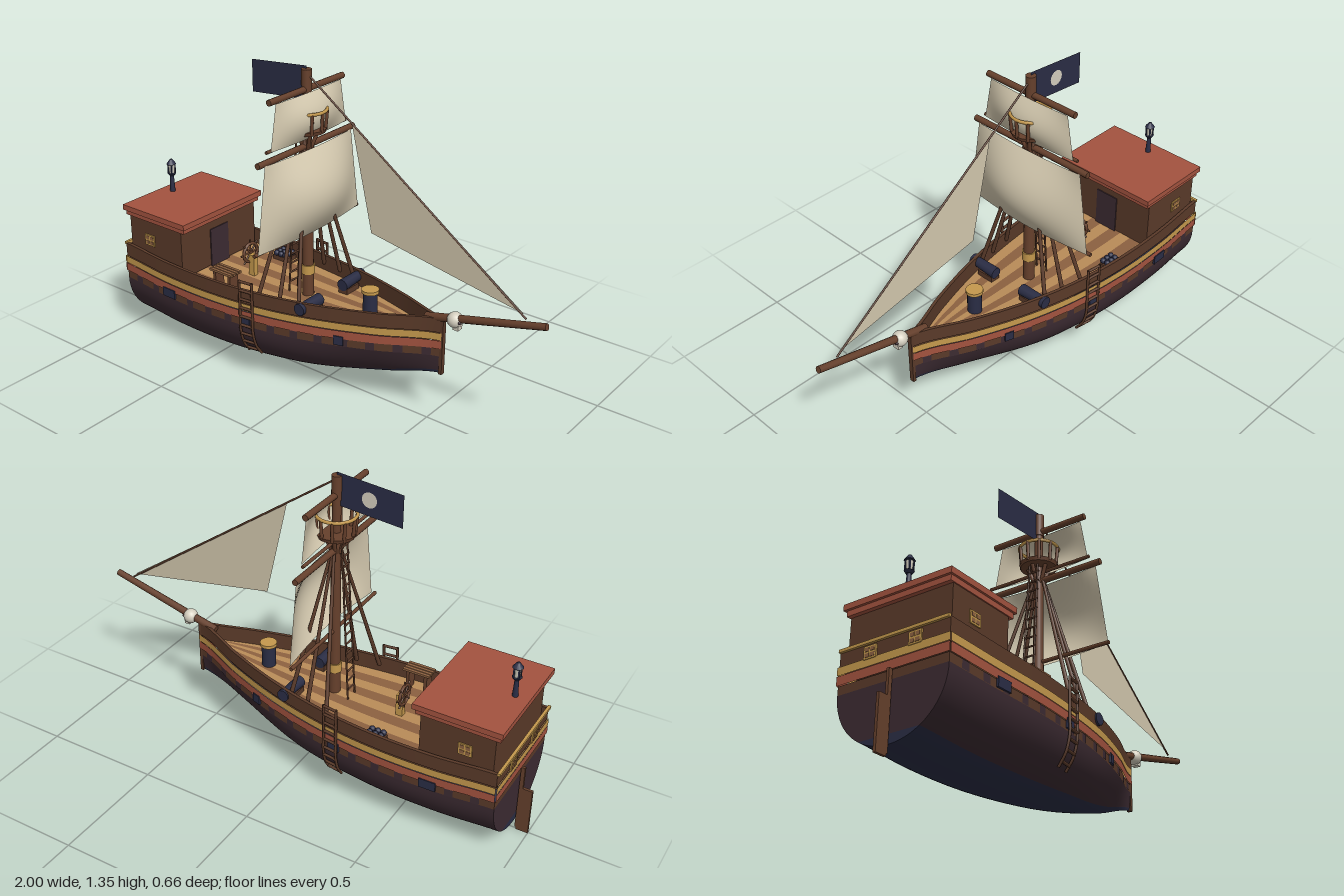
import * as THREE from 'three';

const mat = (name, color, open) => {
  const m = new THREE.MeshStandardMaterial({ color });
  m.name = name;
  if (open) m.side = THREE.DoubleSide;
  return m;
};
const V = (x, y, z) => new THREE.Vector3(x, y, z);

// Hull lines, as values at seven even stations from stern to bow
const X0 = -0.94, X1 = 0.56;
const line = (vals) => {
  const c = new THREE.SplineCurve(vals.map((v, i) => new THREE.Vector2(i, v)));
  return (x) => c.getPoint(THREE.MathUtils.clamp((x - X0) / (X1 - X0), 0, 1)).y;
};
const beam = line([0.245, 0.256, 0.256, 0.232, 0.183, 0.105, 0.008]);
const sheer = line([0.44, 0.427, 0.425, 0.428, 0.438, 0.452, 0.47]);
const keel = line([0.045, 0.032, 0.035, 0.055, 0.09, 0.15, 0.228]);
const WALE = 0.165; // depth of the vertical topside below the sheer

// Half width of the hull at x, t = 0 below the topside to 1 at the keel
const halfWidth = (x, t) => {
  const v = THREE.MathUtils.smoothstep(x, -0.1, 0.56) * 0.7;
  return beam(x) * THREE.MathUtils.lerp(Math.sqrt(Math.max(0, 1 - t * t)), 1 - t, v);
};
const bottomY = (x, t) => THREE.MathUtils.lerp(sheer(x) - WALE, keel(x), t);
const sideAt = (x, y) => {
  const b = sheer(x) - WALE;
  return y >= b ? beam(x) : halfWidth(x, Math.min(1, (b - y) / (b - keel(x))));
};

// Surface from a rule p(u, v)
function grid(nu, nv, p) {
  const pos = [], idx = [];
  for (let i = 0; i <= nu; i++) for (let j = 0; j <= nv; j++) pos.push(...p(i / nu, j / nv));
  for (let i = 0; i < nu; i++) for (let j = 0; j < nv; j++) {
    const a = i * (nv + 1) + j, b = a + nv + 1;
    idx.push(a, b, a + 1, b, b + 1, a + 1);
  }
  const g = new THREE.BufferGeometry();
  g.setAttribute('position', new THREE.Float32BufferAttribute(pos, 3));
  g.setIndex(idx);
  g.computeVertexNormals();
  return g;
}

export function createModel() {
  const ship = new THREE.Group();
  ship.name = 'sailingShip';
  const wood = mat('dark wood', 0x5a3a29, true), spar = mat('spar wood', 0x66402c);
  const light = mat('light plank', 0xb98c58, true), dark = mat('brown plank', 0x8c6140, true);
  const red = mat('red paint', 0xa3533f, true), gold = mat('gold paint', 0xc5994d, true);
  const plum = mat('dark hull', 0x3c2b32, true), navy = mat('navy', 0x2a2d45, true);
  const sail = mat('sail cloth', 0xd3c8ae, true), bone = mat('bone', 0xd6d0c0);

  const add = (name, geo, m, x = 0, y = 0, z = 0) => {
    const o = new THREE.Mesh(geo, m);
    o.name = name;
    o.position.set(x, y, z);
    ship.add(o);
    return o;
  };
  const box = (name, w, h, d, m, x, y, z) => add(name, new THREE.BoxGeometry(w, h, d), m, x, y, z);
  const cyl = (name, r1, r2, h, m, x, y, z, n = 16) => add(name, new THREE.CylinderGeometry(r1, r2, h, n), m, x, y, z);
  const rod = (name, a, b, r, m = spar, r2 = r) => {
    const d = b.clone().sub(a), o = cyl(name, r2, r, d.length(), m, 0, 0, 0, 10);
    o.position.copy(a).addScaledVector(d, 0.5);
    o.quaternion.setFromUnitVectors(V(0, 1, 0), d.normalize());
    return o;
  };
  const lerp = THREE.MathUtils.lerp;

  // Painted topside bands, both sides and across the stern
  const bands = [['bulwark', 0, 0.06, wood, 0], ['goldWale', 0.06, 0.092, gold, 0.005],
    ['redWale', 0.094, 0.13, red, 0.005], ['lowerStrake', 0.13, WALE, wood, 0]];
  for (const [name, a, b, m, out] of bands) {
    for (const s of [-1, 1]) add(name, grid(40, 1, (u, v) => {
      const x = lerp(X0, X1, u);
      return [x, sheer(x) - lerp(a, b, v), s * (beam(x) + out)];
    }), m);
    add(name + 'Stern', grid(1, 1, (u, v) => [X0 - out, sheer(X0) - lerp(a, b, v), lerp(-1, 1, u) * (beam(X0) + out)]), m);
  }
  // Rounded bottom in two colours
  for (const [name, a, b, m] of [['hullSide', 0, 1.0, plum], ['hullBottom', 1.0, Math.PI / 2, navy]]) {
    for (const s of [-1, 1]) add(name, grid(40, 10, (u, v) => {
      const x = lerp(X0, X1, u), t = Math.sin(lerp(a, b, v));
      return [x, bottomY(x, t), s * halfWidth(x, t)];
    }), m);
    add(name + 'Stern', grid(1, 10, (u, v) => {
      const t = Math.sin(lerp(a, b, v));
      return [X0, bottomY(X0, t), lerp(-1, 1, u) * halfWidth(X0, t)];
    }), m);
  }
  // Cap rail and inner bulwark
  const inner = (x) => Math.max(0, beam(x) - 0.014);
  for (const s of [-1, 1]) {
    add('capRail', grid(40, 1, (u, v) => {
      const x = lerp(X0, X1, u);
      return [x, sheer(x), s * lerp(inner(x), beam(x), v)];
    }), wood);
    add('innerBulwark', grid(40, 1, (u, v) => {
      const x = lerp(X0, X1, u);
      return [x, sheer(x) - 0.08 * v, s * inner(x)];
    }), wood);
    // Dark gaps in the lower strake
    for (let x = -0.88; x < 0.5; x += 0.105) add('strakeGap', grid(2, 1, (u, v) => {
      const xx = x + u * 0.035;
      return [xx, sheer(xx) - lerp(0.131, WALE, v), s * (beam(xx) + 0.002)];
    }), plum);
  }
  // Planked deck
  const planks = 9;
  for (let i = 0; i < planks; i++) add('deckPlank', grid(30, 1, (u, v) => {
    const x = lerp(X0, X1 - 0.01, u);
    return [x, sheer(x) - 0.07, inner(x) * (1 - 2 * (i + v) / planks)];
  }), i % 2 ? dark : light);

  // Stem, rudder and stern rail
  box('stem', 0.014, 0.25, 0.02, wood, 0.558, 0.35, 0);
  box('rudder', 0.05, 0.21, 0.012, spar, -0.975, 0.105, 0);
  box('rudderPost', 0.016, 0.3, 0.012, spar, -0.952, 0.16, 0);
  box('sternRail', 0.012, 0.012, 0.49, gold, -0.944, 0.44, 0);

  // Cabin with windows, door and roof
  box('cabin', 0.305, 0.22, 0.46, wood, -0.765, 0.47, 0);
  box('roofEave', 0.345, 0.022, 0.47, red, -0.763, 0.588, 0);
  box('roof', 0.365, 0.024, 0.488, red, -0.763, 0.611, 0);
  box('cabinDoor', 0.006, 0.18, 0.11, plum, -0.611, 0.44, 0);
  const window4 = (x, y, z, turn) => {
    const g = new THREE.Group();
    g.name = 'window';
    const frame = new THREE.Mesh(new THREE.BoxGeometry(0.056, 0.05, 0.006), gold);
    g.add(frame);
    for (const i of [-1, 1]) for (const j of [-1, 1]) {
      const pane = new THREE.Mesh(new THREE.BoxGeometry(0.018, 0.015, 0.009), dark);
      pane.position.set(i * 0.012, j * 0.011, 0);
      g.add(pane);
    }
    g.position.set(x, y, z);
    g.rotation.y = turn;
    ship.add(g);
  };
  for (const s of [-1, 1]) {
    window4(-0.8, 0.49, s * 0.232, 0);
    window4(-0.945, 0.4, s * 0.1, Math.PI / 2);
  }
  // Stern lantern
  cyl('lanternPost', 0.008, 0.012, 0.08, navy, -0.885, 0.66, 0);
  cyl('lanternBase', 0.02, 0.012, 0.012, navy, -0.885, 0.703, 0, 8);
  cyl('lanternGlass', 0.014, 0.011, 0.04, bone, -0.885, 0.728, 0, 8);
  for (let i = 0; i < 4; i++) {
    const a = i * Math.PI / 2 + 0.8;
    box('lanternBar', 0.006, 0.045, 0.006, navy, -0.885 + 0.014 * Math.cos(a), 0.73, 0.014 * Math.sin(a));
  }
  cyl('lanternCap', 0.006, 0.022, 0.022, navy, -0.885, 0.762, 0, 8);

  // Mast, yards and booms
  const MX = -0.11;
  cyl('mast', 0.017, 0.025, 0.92, spar, MX, 0.8, 0);
  cyl('mastHead', 0.021, 0.021, 0.1, spar, MX, 1.283, 0);
  cyl('mastBand', 0.029, 0.029, 0.04, gold, MX, 0.48, 0);
  for (const [y, h, r] of [[1.253, 0.225, 0.013], [1.02, 0.297, 0.013], [1.06, 0.245, 0.007], [0.656, 0.33, 0.008]])
    rod('yard', V(MX, y, -h), V(MX, y, h), r);
  // Billowing square sails
  const square = (name, yTop, yBot, hTop, hBot, depth) => add(name, grid(20, 20, (u, v) => [
    MX + 0.012 + depth * Math.sin(Math.PI * u) * Math.sin(Math.PI * (0.05 + 0.87 * v)),
    lerp(yTop, yBot, v), lerp(-1, 1, u) * lerp(hTop, hBot, v)]), sail);
  square('topSail', 1.245, 1.06, 0.198, 0.232, 0.052);
  square('mainSail', 1.015, 0.658, 0.268, 0.32, 0.1);

  // Crow's nest
  cyl('nestFloor', 0.08, 0.075, 0.016, spar, MX, 1.09, 0, 20);
  const ring = add('nestRail', new THREE.TorusGeometry(0.08, 0.007, 6, 24), gold, MX, 1.172, 0);
  ring.rotation.x = Math.PI / 2;
  for (let i = 0; i < 10; i++) {
    const a = i * Math.PI / 5, c = Math.cos(a), s = Math.sin(a);
    rod('nestPost', V(MX + 0.073 * c, 1.09, 0.073 * s), V(MX + 0.08 * c, 1.172, 0.08 * s), 0.007);
    if (i % 2) rod('nestBrace', V(MX + 0.015 * c, 1.01, 0.015 * s), V(MX + 0.045 * c, 1.085, 0.045 * s), 0.008);
  }

  // Shrouds and the ladder behind the mast
  for (const s of [-1, 1]) {
    for (const x of [-0.2, -0.1, -0.01])
      rod('shroud', V(x, 0.39, s * (beam(x) - 0.015)), V(MX, 1.06, s * 0.012), 0.009, wood, 0.006);
    rod('mastLadderRope', V(-0.19, 0.36, s * 0.028), V(-0.145, 1.09, s * 0.02), 0.004, wood);
  }
  for (let i = 1; i < 17; i++) {
    const x = lerp(-0.19, -0.145, i / 17), y = lerp(0.36, 1.09, i / 17);
    rod('mastLadderRung', V(x, y, -0.028), V(x, y, 0.028), 0.004, wood);
  }

  // Flag with a plain round patch
  const flag = (u, v, z) => [lerp(-0.39, MX, u), lerp(1.185, 1.32, v) + 0.025 * u, z];
  add('flag', grid(1, 1, (u, v) => flag(u, v, 0)), navy);
  const patch = add('flagPatch', new THREE.CircleGeometry(0.032, 16), bone, -0.25, 1.265, -0.003);
  patch.rotation.y = Math.PI;

  // Bowsprit, forestay, jib and figurehead
  rod('bowsprit', V(0.48, 0.455, 0), V(0.996, 0.585, 0), 0.017, spar, 0.014);
  rod('forestay', V(-0.1, 1.31, 0), V(0.91, 0.588, 0), 0.004, wood);
  const jib = new THREE.Shape([[0.11, 1.16], [0.21, 0.73], [0.9, 0.605]].map((p) => new THREE.Vector2(...p)));
  add('jib', new THREE.ShapeGeometry(jib), sail);
  add('figureheadBall', new THREE.SphereGeometry(0.032, 16, 12), bone, 0.61, 0.483, 0);
  box('figureheadJaw', 0.024, 0.024, 0.03, bone, 0.622, 0.458, 0);
  for (const s of [-1, 1]) add('figureheadEye', new THREE.SphereGeometry(0.008, 8, 6), plum, 0.637, 0.483, s * 0.012);

  for (const s of [-1, 1]) {
    // Cannon poking through the bulwark
    rod('cannon', V(0.01, 0.405, s * 0.075), V(0.01, 0.41, s * 0.2), 0.026, navy, 0.021);
    rod('cannonMuzzle', V(0.01, 0.41, s * 0.19), V(0.01, 0.41, s * 0.207), 0.026, navy);
    box('cannonCarriage', 0.045, 0.025, 0.08, wood, 0.01, 0.378, s * 0.12);
    // Gun ports
    for (const [x, w] of [[-0.67, 0.07], [-0.25, 0.05], [0.17, 0.04]]) {
      const port = box('gunPort', w, 0.04, 0.012, navy, x, sheer(x) - 0.138, s * (beam(x) + 0.003));
      port.rotation.y = -s * Math.atan((beam(x + 0.02) - beam(x - 0.02)) / 0.04);
    }
    // Boarding ladder hugging the hull
    const at = (x, y) => V(x, y, s * (sideAt(x, y) + 0.012));
    for (const x of [-0.265, -0.205]) {
      const pts = [0.475, 0.4, 0.32, 0.25, 0.18, 0.13].map((y) => at(x, y));
      add('ladderRail', new THREE.TubeGeometry(new THREE.CatmullRomCurve3(pts), 20, 0.006, 6), wood);
    }
    for (let y = 0.15; y < 0.48; y += 0.04) rod('ladderRung', at(-0.265, y), at(-0.205, y), 0.006, wood);
  }

  // Barrel
  cyl('barrel', 0.03, 0.03, 0.1, navy, 0.21, 0.425, 0);
  cyl('barrelLid', 0.036, 0.036, 0.014, gold, 0.21, 0.478, 0);
  // Steering wheel
  const wheel = add('wheelRim', new THREE.TorusGeometry(0.042, 0.007, 8, 24), spar, -0.43, 0.455, 0);
  wheel.rotation.y = Math.PI / 2;
  for (let i = 0; i < 4; i++) {
    const a = i * Math.PI / 4, y = 0.06 * Math.sin(a), z = 0.06 * Math.cos(a);
    rod('wheelSpoke', V(-0.43, 0.455 - y, -z), V(-0.43, 0.455 + y, z), 0.004);
  }
  box('wheelStand', 0.03, 0.1, 0.025, gold, -0.415, 0.4, 0);
  // Slatted table and shot rack
  for (let i = 0; i < 4; i++) box('tableSlat', 0.12, 0.01, 0.013, dark, -0.4, 0.452, 0.164 + i * 0.017);
  for (const x of [-0.44, -0.36]) box('tableLeg', 0.014, 0.1, 0.05, spar, x, 0.4, 0.19);
  box('shotRack', 0.08, 0.02, 0.06, wood, -0.41, 0.366, -0.2);
  for (let i = 0; i < 3; i++) for (let j = 0; j < 3; j++)
    add('shot', new THREE.SphereGeometry(0.013, 10, 8), navy, -0.435 + i * 0.025, 0.385, -0.223 + j * 0.023);
  return ship;
}
